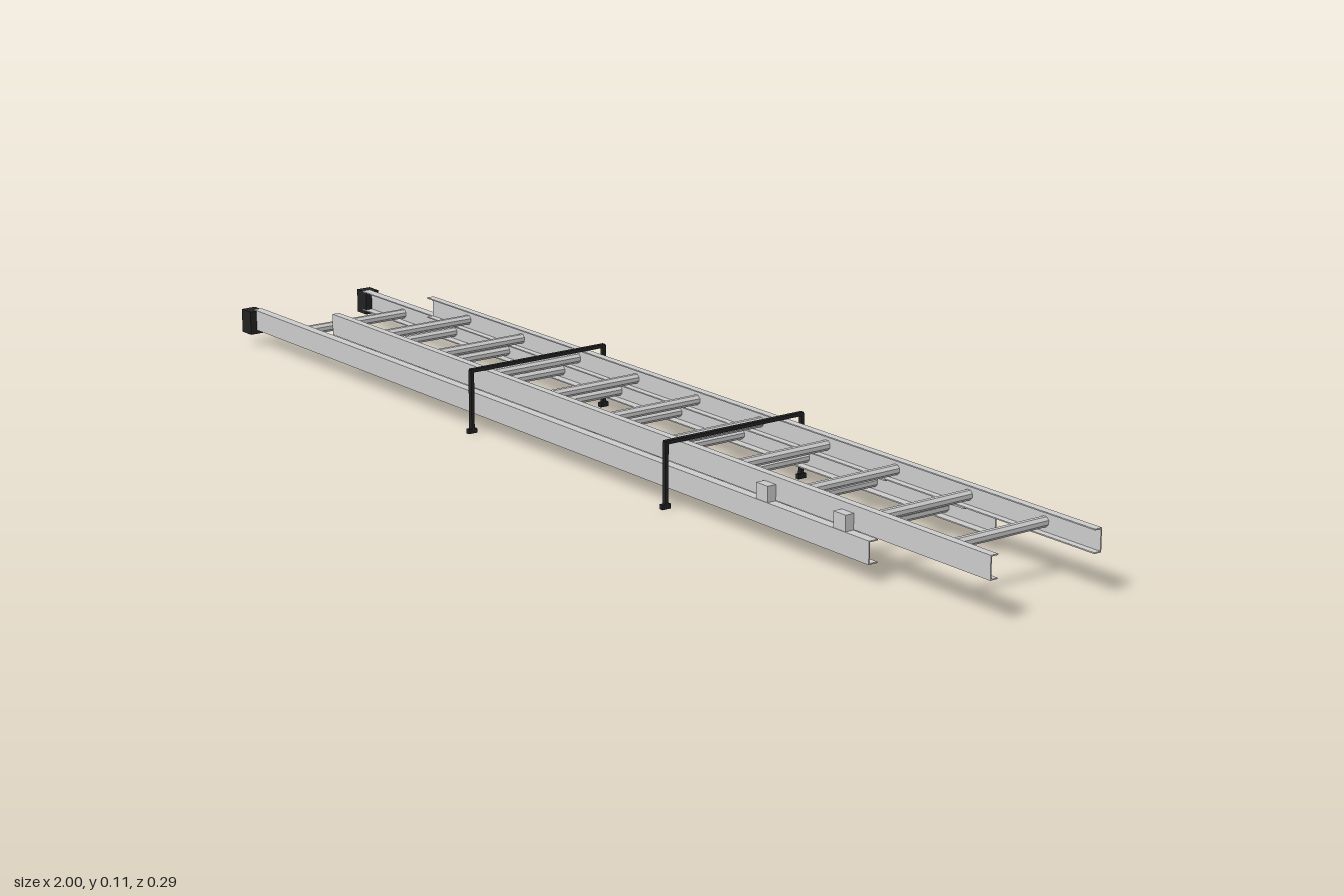
import * as THREE from 'three';

const grey = new THREE.MeshStandardMaterial({ color: 0xcccccc });
const rungGrey = new THREE.MeshStandardMaterial({ color: 0xcccccc, flatShading: true });
const black = new THREE.MeshStandardMaterial({ color: 0x222222 });

// Box given by its lower and upper limits on each axis
function box(name, parent, material, [x0, x1], [y0, y1], [z0, z1]) {
  const mesh = new THREE.Mesh(new THREE.BoxGeometry(x1 - x0, y1 - y0, Math.abs(z1 - z0)), material);
  mesh.position.set((x0 + x1) / 2, (y0 + y1) / 2, (z0 + z1) / 2);
  mesh.name = name;
  parent.add(mesh);
}

// C-channel rail along x: web on the outside, flanges pointing inward
function channelRail(name, x0, x1, y0, y1, zIn, zOut, side) {
  const t = 0.002;
  const points = [
    [zIn, y0], [zOut, y0], [zOut, y1], [zIn, y1],
    [zIn, y1 - t], [zOut - t, y1 - t], [zOut - t, y0 + t], [zIn, y0 + t],
  ].map(([z, y]) => new THREE.Vector2(-side * z, y));
  const geometry = new THREE.ExtrudeGeometry(new THREE.Shape(points), { depth: x1 - x0, bevelEnabled: false });
  geometry.rotateY(Math.PI / 2);
  geometry.translate(x0, 0, 0);
  const mesh = new THREE.Mesh(geometry, grey);
  mesh.name = name;
  return mesh;
}

// One ladder section: two mirrored rails and ten evenly spaced rungs
function ladderSection(name, s) {
  const section = new THREE.Group();
  section.name = name;
  for (const side of [1, -1]) {
    section.add(channelRail(side > 0 ? 'frontRail' : 'backRail', s.x0, s.x1, s.y0, s.y1, s.zIn, s.zOut, side));
  }
  const rungGeometry = new THREE.CylinderGeometry(0.0087, 0.0087, 2 * (s.zOut - 0.001), 8);
  rungGeometry.rotateY(Math.PI / 8);
  rungGeometry.rotateX(Math.PI / 2);
  for (let i = 0; i < 10; i++) {
    const rung = new THREE.Mesh(rungGeometry, rungGrey);
    rung.position.set(s.firstRung + i * 0.1673, s.rungY, 0);
    rung.name = 'rung';
    section.add(rung);
  }
  return section;
}

export function createModel() {
  const model = new THREE.Group();
  model.name = 'extensionLadder';

  const lower = ladderSection('lowerSection', {
    x0: -0.98, x1: 0.757, y0: 0.03, y1: 0.067, zIn: 0.11, zOut: 0.127, firstRung: -0.862, rungY: 0.045,
  });
  const upper = ladderSection('upperSection', {
    x0: -0.737, x1: 1, y0: 0.067, y1: 0.105, zIn: 0.095, zOut: 0.109, firstRung: -0.623, rungY: 0.085,
  });
  model.add(lower, upper);

  // Rubber end caps and the guide brackets holding the upper rails
  for (const side of [1, -1]) {
    box('endCap', lower, black, [-1, -0.97], [0.023, 0.066], [side * 0.112, side * 0.14]);
    for (const x of [0.505, 0.688]) {
      box('guideBracket', lower, grey, [x - 0.014, x + 0.014], [0.058, 0.093], [side * 0.11, side * 0.126]);
    }
  }

  // Clamp bars: a crossbar, two uprights and a small foot under each
  for (const x of [-0.257, 0.28]) {
    const clamp = new THREE.Group();
    clamp.name = 'clampBar';
    const xs = [x - 0.004, x + 0.004];
    box('crossbar', clamp, black, xs, [0.106, 0.112], [-0.14, 0.14]);
    for (const side of [1, -1]) {
      box('upright', clamp, black, xs, [0.004, 0.11], [side * 0.135, side * 0.141]);
      box('clampFoot', clamp, black, xs, [0, 0.008], [side * 0.13, side * 0.147]);
    }
    model.add(clamp);
  }
  return model;
}
